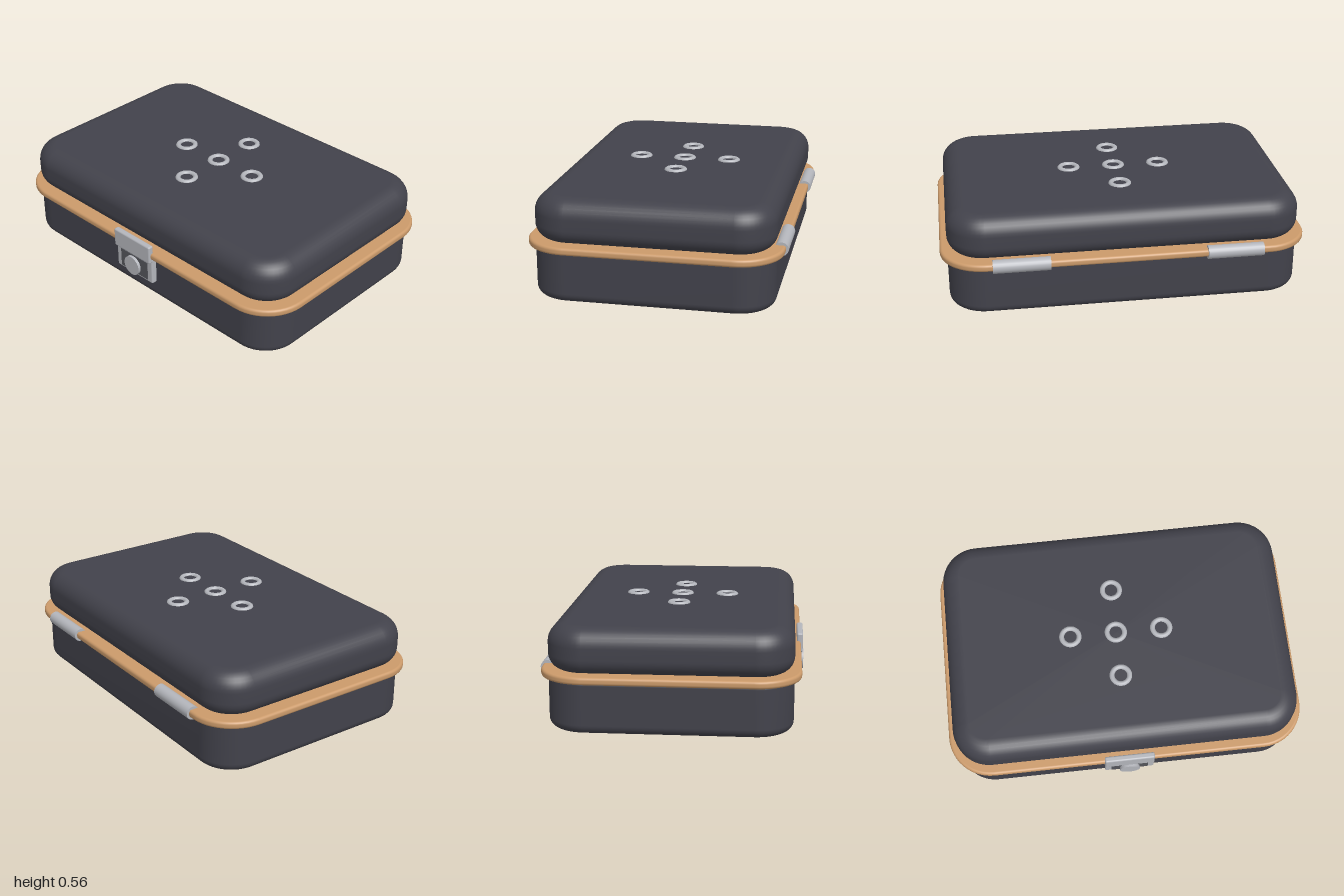
import * as THREE from 'three';
import { RoundedBoxGeometry } from 'three/addons/geometries/RoundedBoxGeometry.js';

const mat = (name, color, extra = {}) => {
  const m = new THREE.MeshStandardMaterial({ color, ...extra });
  m.name = name;
  return m;
};

// Rounded-rectangle ring, shrunk by inset
function ring(w, d, r, inset, y, steps = 12) {
  const pts = [];
  const cr = r - inset;
  for (let q = 0; q < 4; q++) {
    const sx = q === 0 || q === 3 ? 1 : -1;
    const sz = q < 2 ? 1 : -1;
    for (let i = 0; i <= steps; i++) {
      const a = (q + i / steps) * Math.PI / 2;
      pts.push([sx * (w - r) + cr * Math.cos(a), y, sz * (d - r) + cr * Math.sin(a)]);
    }
  }
  return pts;
}

// Closed slab with softly rolled bottom and top edges; w and d are half sizes
function softSlab(w, d, r, y0, y1, rBottom, rTop, seg = 8) {
  const rings = [];
  const arc = (rad, y, dir) => {
    for (let i = 0; i <= seg; i++) {
      const t = (dir > 0 ? i : seg - i) / seg * Math.PI / 2;
      rings.push(ring(w, d, r, rad * (1 - Math.sin(t)), y + dir * rad * (1 - Math.cos(t))));
    }
  };
  arc(rBottom, y0, 1);
  arc(rTop, y1, -1);
  const n = rings[0].length;
  const pos = rings.flat(2);
  const idx = [];
  for (let i = 0; i < rings.length - 1; i++) {
    for (let j = 0; j < n; j++) {
      const k = (j + 1) % n, a = i * n, b = a + n;
      idx.push(a + j, b + j, a + k, a + k, b + j, b + k);
    }
  }
  const low = rings.length * n, top = low + 1, last = low - n;
  pos.push(0, y0, 0, 0, y1, 0);
  for (let j = 0; j < n; j++) {
    const k = (j + 1) % n;
    idx.push(low, j, k, top, last + k, last + j);
  }
  const g = new THREE.BufferGeometry();
  g.setAttribute('position', new THREE.Float32BufferAttribute(pos, 3));
  g.setIndex(idx);
  g.computeVertexNormals();
  return g;
}

export function createModel() {
  const model = new THREE.Group();
  const shell = mat('charcoal shell', 0x42424b);
  const trim = mat('tan trim', 0xcb9a6a);
  const metal = mat('silver metal', 0xb4b6bc);
  const dark = mat('dark metal', 0x55565c);

  const add = (name, geo, material, x = 0, y = 0, z = 0, parent = model) => {
    const m = new THREE.Mesh(geo, material);
    m.name = name;
    m.position.set(x, y, z);
    parent.add(m);
    return m;
  };

  // Case halves and the trim band between them
  add('base', softSlab(0.64, 0.96, 0.2, 0, 0.28, 0.05, 0.02), shell);
  add('lid', softSlab(0.64, 0.96, 0.2, 0.308, 0.553, 0.085, 0.1), shell);
  add('trimBand', softSlab(0.678, 1, 0.24, 0.274, 0.315, 0.015, 0.015, 5), trim);

  // Hinge barrels on the left side
  for (const s of [1, -1]) {
    const barrel = new THREE.CylinderGeometry(0.037, 0.037, 0.306, 24).rotateX(Math.PI / 2);
    add('hinge', barrel, metal, 0.655, 0.294, s * 0.575);
  }

  // Ring studs on the lid, in a cross
  const studs = new THREE.Group();
  studs.name = 'lidStuds';
  model.add(studs);
  for (const [x, z] of [[0, 0], [1, 0], [-1, 0], [0, 1], [0, -1]]) {
    const stud = new THREE.TorusGeometry(0.049, 0.015, 10, 28).rotateX(Math.PI / 2);
    add('ringStud', stud, metal, 0.002 + x * 0.256, 0.55, -0.005 + z * 0.256, studs);
  }

  // Latch on the right side
  const latch = new THREE.Group();
  latch.name = 'latch';
  model.add(latch);
  add('latchFlap', new RoundedBoxGeometry(0.034, 0.11, 0.28, 3, 0.01), metal, -0.673, 0.304, 0, latch);
  add('latchPlate', new RoundedBoxGeometry(0.038, 0.16, 0.28, 3, 0.008), metal, -0.653, 0.191, 0, latch);
  add('latchInset', new THREE.BoxGeometry(0.006, 0.11, 0.21), dark, -0.672, 0.18, 0, latch);
  const disc = (r, h) => new THREE.CylinderGeometry(r, r, h, 28).rotateZ(Math.PI / 2);
  add('knobNeck', disc(0.045, 0.016), dark, -0.676, 0.178, 0, latch);
  add('knob', disc(0.057, 0.016), metal, -0.688, 0.178, 0, latch);

  return model;
}
